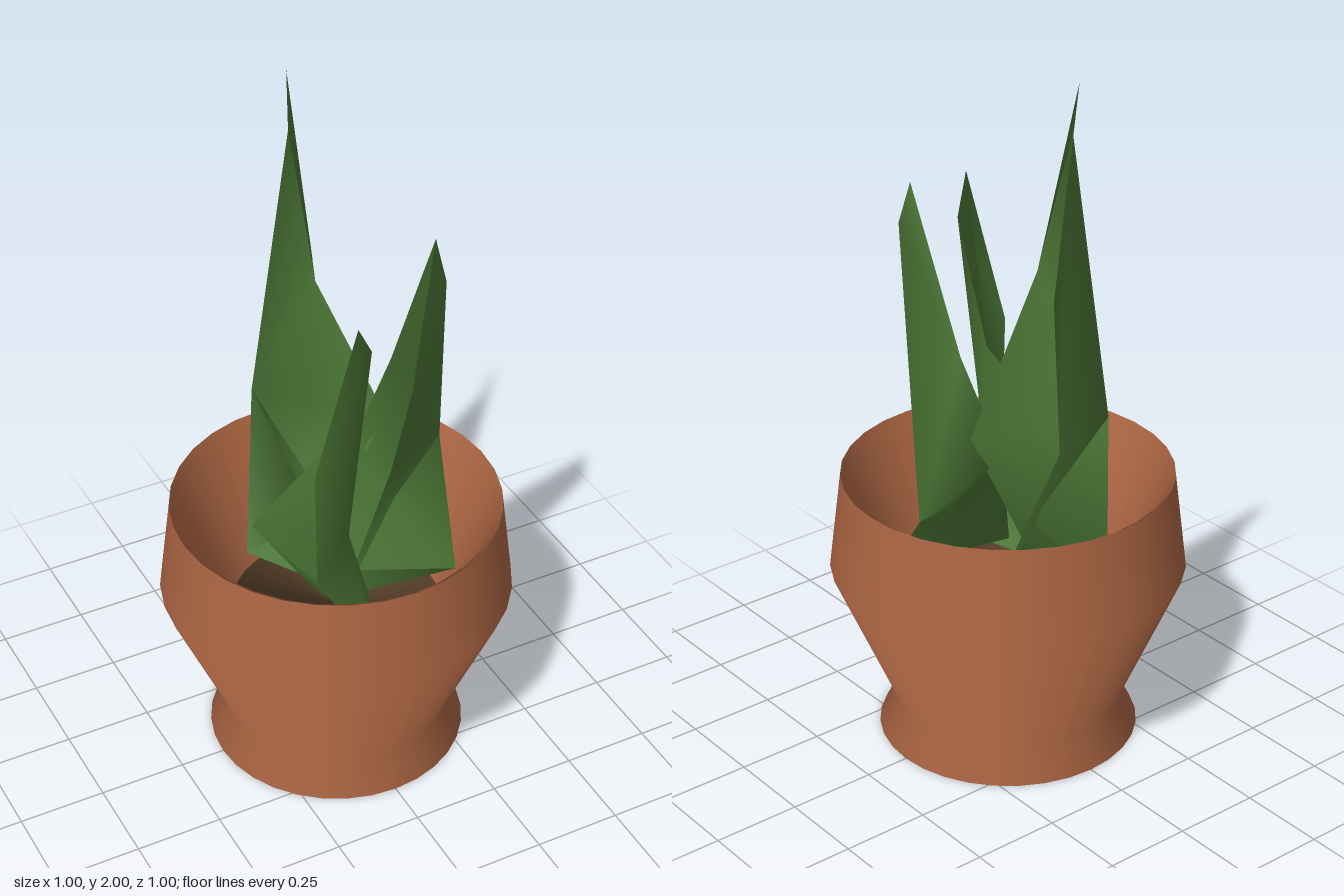
import * as THREE from 'three';

const terracotta = new THREE.MeshStandardMaterial({ color: 0xb06845 });
terracotta.name = 'terracotta';
const soilBrown = new THREE.MeshStandardMaterial({ color: 0x62482f });
soilBrown.name = 'soilBrown';
const leafGreen = new THREE.MeshStandardMaterial({ color: 0x4c7836, side: THREE.DoubleSide });
leafGreen.name = 'leafGreen';

// Turned surface whose smooth normals point out (facing 1) or in (facing -1), tilted up by lift
function turned(name, profile, facing, lift, material) {
  const points = profile.map(([r, y]) => new THREE.Vector2(r, y));
  const geometry = new THREE.LatheGeometry(points, 32);
  const normal = geometry.attributes.normal;
  for (let i = 0; i < normal.count; i++) {
    const angle = Math.floor(i / points.length) / 32 * Math.PI * 2;
    const n = new THREE.Vector3(Math.sin(angle) * facing, lift, Math.cos(angle) * facing).normalize();
    normal.setXYZ(i, n.x, n.y, n.z);
  }
  const mesh = new THREE.Mesh(geometry, material);
  mesh.name = name;
  return mesh;
}

// Folded blade: each row from the base up holds left edge, right edge and spine;
// the two sides meet at the spine and close at the tip
function leaf(name, rows, tip) {
  const index = [];
  const last = (rows.length - 1) * 3;
  for (const [from, to] of [[1, 2], [2, 0]]) {
    for (let i = 0; i < last; i += 3) {
      const a = i + from, b = i + to;
      index.push(a, a + 3, b, a + 3, b + 3, b);
    }
    index.push(last + from, last + 3, last + to);
  }
  const geometry = new THREE.BufferGeometry();
  geometry.setAttribute('position', new THREE.Float32BufferAttribute([...rows, [tip]].flat(2), 3));
  geometry.setIndex(index);
  geometry.computeVertexNormals();
  const mesh = new THREE.Mesh(geometry, leafGreen);
  mesh.name = name;
  return mesh;
}

export function createModel() {
  const model = new THREE.Group();
  model.name = 'pottedPlant';

  // Pot: flat bottom, flared foot, narrow waist, wide shoulder and inward rim
  model.add(turned('potOutside', [[0, 0], [0.37, 0], [0.32, 0.1], [0.5, 0.52], [0.465, 0.8]], 1, 0.06, terracotta));
  model.add(turned('potInside', [[0.465, 0.8], [0.45, 0.79], [0.3, 0.42]], -1, 0.3, terracotta));

  // Soil
  model.add(turned('soil', [[0.3, 0.42], [0, 0.42]], -1, 0.1, soilBrown));

  // Three twisted leaves
  model.add(leaf('backLeaf', [
    [[0.04, 0.5, -0.035], [-0.06, 0.5, -0.045], [-0.17, 0.5, -0.23]],
    [[0.05, 0.97, -0.28], [0.19, 0.98, -0.075], [-0.12, 1.03, -0.28]],
    [[0.07, 1.41, -0.275], [0.005, 1.44, -0.13], [-0.015, 1.85, -0.243]],
  ], [0.005, 2.0, -0.29]));
  model.add(leaf('leftLeaf', [
    [[-0.03, 0.53, 0.1], [-0.06, 0.53, 0.07], [0.31, 0.53, 0.14]],
    [[0.13, 0.89, 0.075], [0.08, 0.89, -0.075], [0.39, 0.81, -0.11]],
    [[0.14, 1.22, 0.17], [0.18, 1.2, -0.022], [0.238, 1.54, 0.165]],
  ], [0.22, 1.66, 0.135]));
  model.add(leaf('frontLeaf', [
    [[-0.056, 0.52, 0.33], [-0.075, 0.5, -0.02], [0, 0.5, 0.28]],
    [[-0.2, 0.77, 0.275], [-0.236, 0.75, -0.053], [-0.052, 0.81, 0.175]],
    [[-0.195, 1.11, 0.255], [-0.01, 1.13, 0.105], [-0.03, 1.46, 0.257]],
  ], [-0.09, 1.57, 0.295]));

  return model;
}
